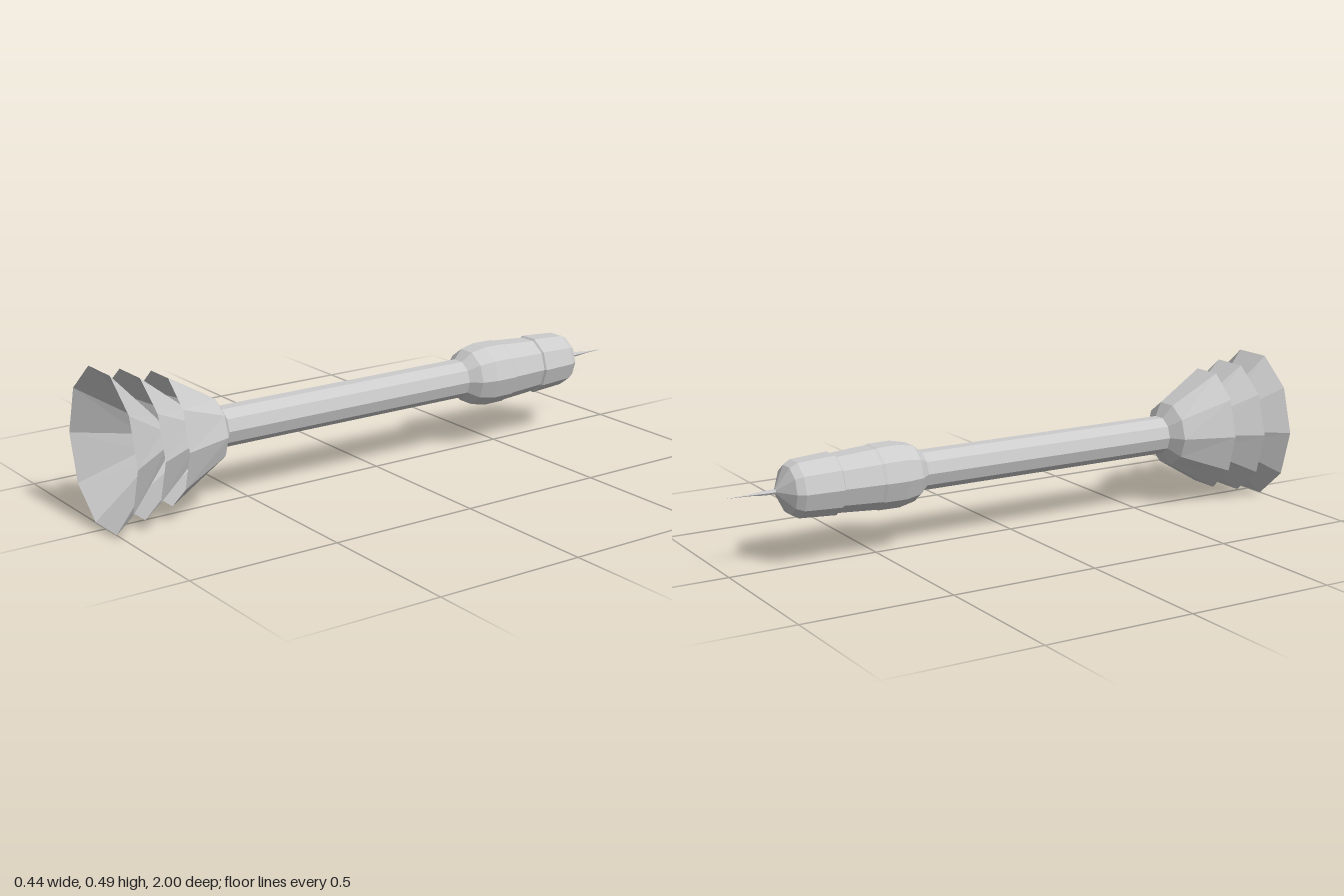
import * as THREE from 'three';

const SIDES = 10;
const AXIS_Y = 0.248;

// Ten-sided turned geometry along z; profile is [radius, z] pairs with z ascending
function turned(profile, sides = SIDES) {
  const points = profile.map(([r, z]) => new THREE.Vector2(r, z));
  return new THREE.LatheGeometry(points, sides, Math.PI / 2).rotateX(Math.PI / 2);
}

function addPart(group, name, geometry, side = THREE.FrontSide) {
  const material = new THREE.MeshStandardMaterial({ color: 0xcccccc, flatShading: true, side });
  const mesh = new THREE.Mesh(geometry, material);
  mesh.name = name;
  mesh.position.y = AXIS_Y;
  group.add(mesh);
}

// Thin open cup whose round throat widens into a rim taller than it is wide
function flaredCup(apexZ, throatZ, throatR, rimZ, rimX, rimY) {
  const geometry = turned([[0, apexZ], [throatR, throatZ], [rimX, rimZ]]);
  const pos = geometry.attributes.position;
  for (let i = 0; i < pos.count; i++) {
    const t = THREE.MathUtils.clamp((pos.getZ(i) - throatZ) / (rimZ - throatZ), 0, 1);
    pos.setY(i, pos.getY(i) * THREE.MathUtils.lerp(1, rimY / rimX, t));
  }
  geometry.computeVertexNormals();
  return geometry;
}

export function createModel() {
  const group = new THREE.Group();
  group.name = 'flaredDart';

  // Three nested cups, front to back
  const cups = [
    ['frontCup', 0.77, 0.83, 0.082, 1.0, 0.22, 0.26],
    ['middleCup', 0.66, 0.73, 0.097, 0.9, 0.204, 0.234],
    ['rearCup', 0.555, 0.63, 0.11, 0.8, 0.17, 0.213],
  ];
  for (const [name, ...dims] of cups) addPart(group, name, flaredCup(...dims), THREE.DoubleSide);

  // Slim shaft
  addPart(group, 'shaft', turned([[0, -0.36], [0.065, -0.36], [0.065, 0.6], [0, 0.6]]));

  // Barrel in three bulging bands, with a conical nose
  addPart(group, 'barrel', turned([
    [0.008, -0.84], [0.078, -0.80], [0.092, -0.775],
    [0.1, -0.65], [0.094, -0.645],
    [0.103, -0.515], [0.106, -0.505],
    [0.107, -0.43], [0.095, -0.375], [0.065, -0.34], [0, -0.34],
  ]));

  // Needle point
  addPart(group, 'needle', turned([[0, -1], [0.003, -0.92], [0.007, -0.88], [0.009, -0.83]], 6));

  return group;
}
